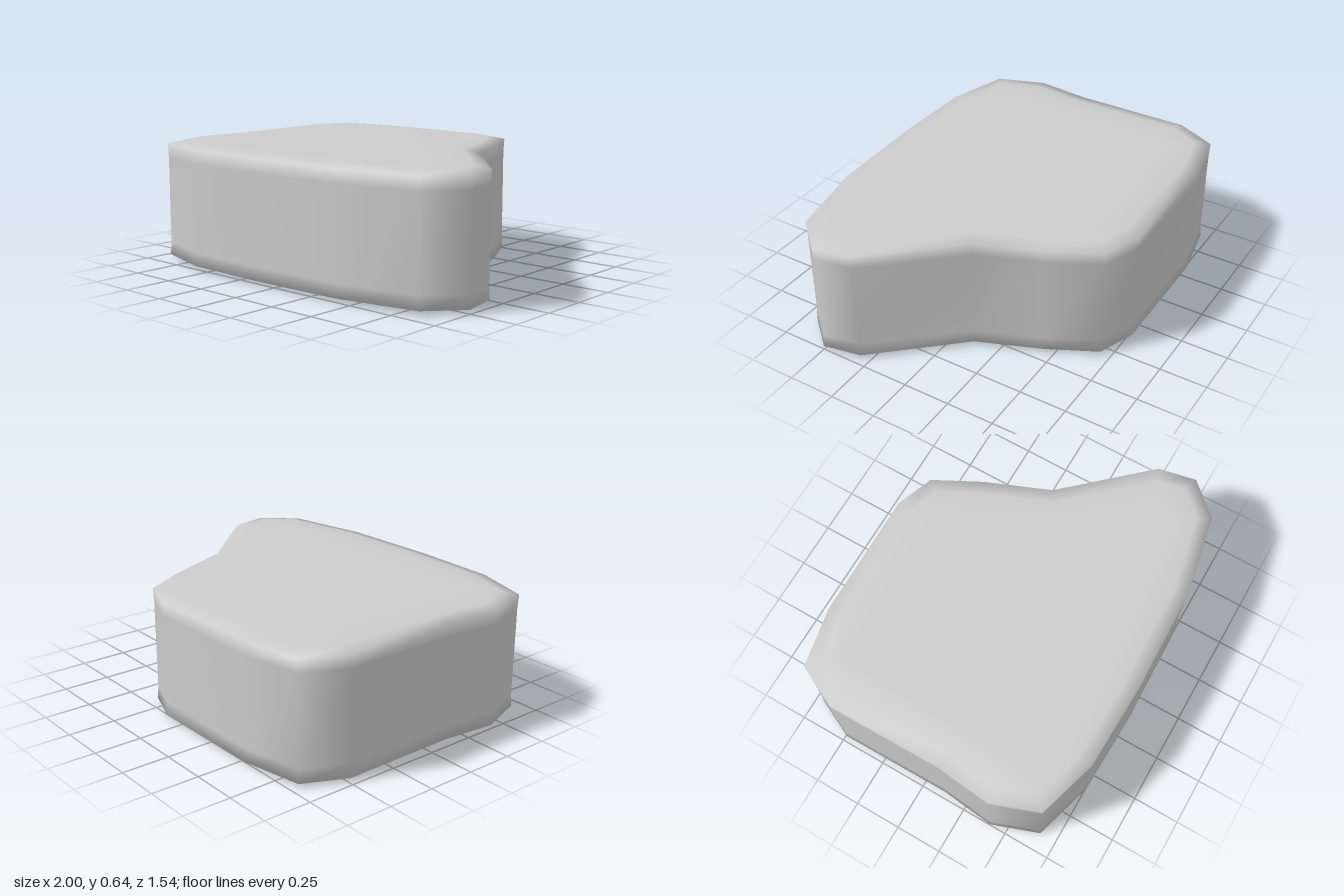
import * as THREE from 'three';

// Plan outline as [x, z], counter-clockwise seen from above
const OUTLINE = [
  [-0.87, -0.71], [-0.975, -0.49], [-0.97, 0.12], [-1, 0.41], [-0.91, 0.66], [-0.59, 0.755],
  [-0.13, 0.77], [0.41, 0.755], [0.845, 0.67], [1, 0.5], [0.96, 0.3], [0.575, -0.12],
  [0.44, -0.45], [0.31, -0.7], [0.11, -0.775], [-0.56, -0.77],
].map(([x, z]) => new THREE.Vector2(x, z));

// Rings from bottom to top as [y, inset]
const RINGS = [
  [0, 0.17], [0.005, 0.075], [0.02, 0], [0.09, 0.004],
  [0.555, 0.004], [0.625, 0], [0.64, 0.075], [0.645, 0.17],
];

// Move every outline corner inwards by the same edge distance
function insetOutline(points, d) {
  const n = points.length;
  const normal = (a, b) => new THREE.Vector2(a.y - b.y, b.x - a.x).normalize();
  return points.map((p, i) => {
    const n1 = normal(points[(i + n - 1) % n], p);
    const n2 = normal(p, points[(i + 1) % n]);
    const miter = n1.clone().add(n2).divideScalar(1 + n1.dot(n2));
    return p.clone().addScaledVector(miter, -d);
  });
}

function slabGeometry() {
  const n = OUTLINE.length, last = (RINGS.length - 1) * n;
  const positions = [], index = [];
  for (const [y, inset] of RINGS)
    for (const p of insetOutline(OUTLINE, inset)) positions.push(p.x, y, p.y);

  // Wall and softened rims
  for (let r = 0; r < RINGS.length - 1; r++) {
    for (let j = 0; j < n; j++) {
      const a = r * n + j, b = r * n + (j + 1) % n;
      index.push(a, b, b + n, a, b + n, a + n);
    }
  }

  // Flat top and bottom
  const cap = insetOutline(OUTLINE, RINGS[0][1]).map((p) => new THREE.Vector2(p.x, -p.y));
  for (const [a, b, c] of THREE.ShapeUtils.triangulateShape(cap, [])) {
    index.push(last + a, last + b, last + c, a, c, b);
  }

  const geometry = new THREE.BufferGeometry();
  geometry.setAttribute('position', new THREE.Float32BufferAttribute(positions, 3));
  geometry.setIndex(index);
  geometry.computeVertexNormals();
  return geometry;
}

export function createModel() {
  const group = new THREE.Group();
  const slab = new THREE.Mesh(slabGeometry(), new THREE.MeshStandardMaterial({ color: 0xcccccc }));
  slab.name = 'stoneSlab';
  group.add(slab);
  return group;
}
